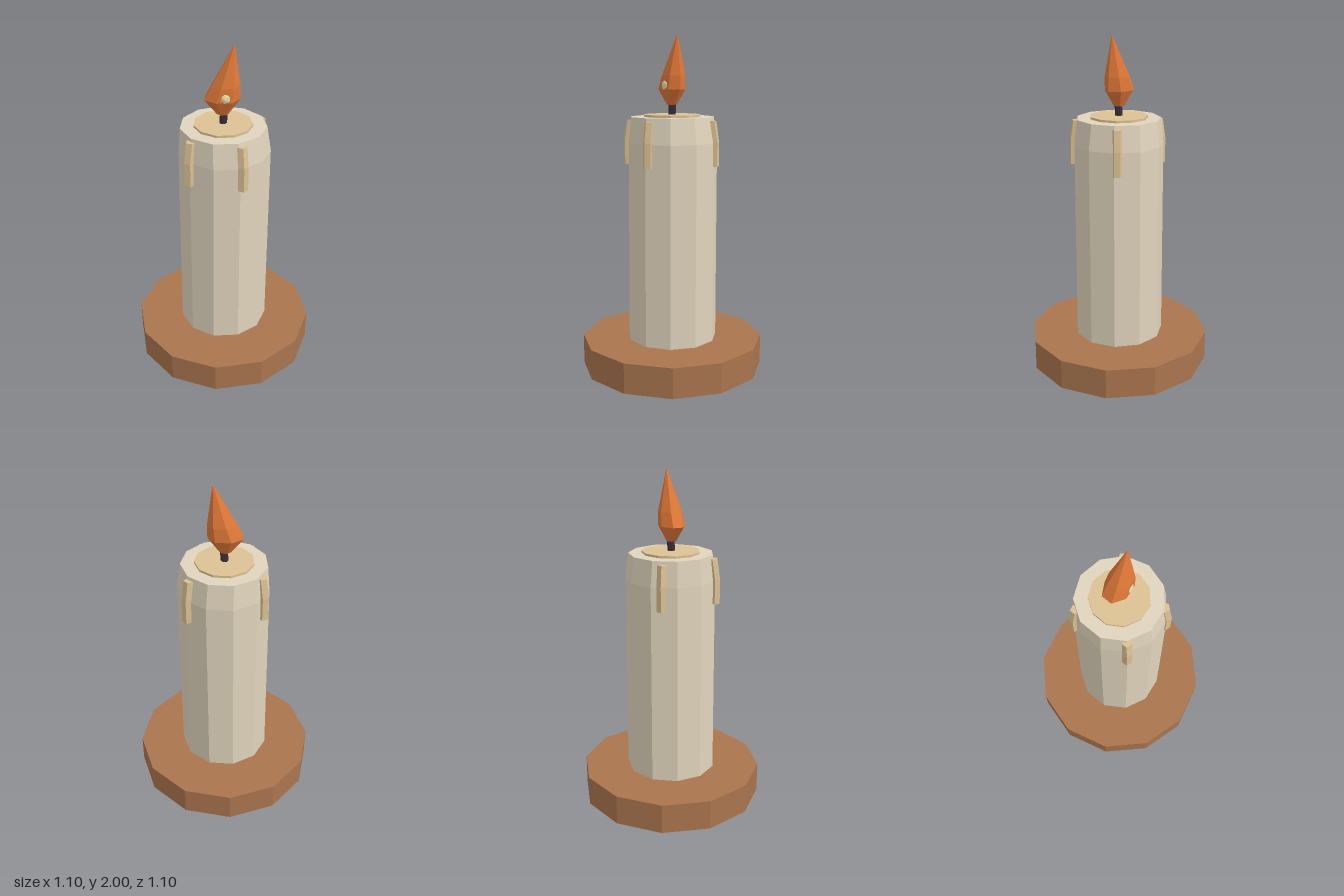
import * as THREE from 'three';

const paint = (name, color) => {
  const m = new THREE.MeshStandardMaterial({ color, flatShading: true });
  m.name = name;
  return m;
};

// Closed faceted solid through rings of [y, radiusX, radiusZ, centreX, centreZ]
function loft(rings, sides) {
  const pos = [], index = [];
  for (const [y, rx, rz, cx = 0, cz = 0] of rings) {
    for (let i = 0; i < sides; i++) {
      const a = (i / sides) * Math.PI * 2;
      pos.push(cx + rx * Math.cos(a), y, cz + rz * Math.sin(a));
    }
  }
  const last = (rings.length - 1) * sides;
  for (let r = 0; r < last; r += sides) {
    for (let i = 0; i < sides; i++) {
      const j = (i + 1) % sides;
      index.push(r + i, r + sides + i, r + j, r + sides + i, r + sides + j, r + j);
    }
  }
  // Fan caps
  for (let i = 1; i < sides - 1; i++) {
    index.push(0, i, i + 1, last, last + i + 1, last + i);
  }
  const g = new THREE.BufferGeometry();
  g.setAttribute('position', new THREE.Float32BufferAttribute(pos, 3));
  g.setIndex(index);
  const flat = g.toNonIndexed();
  flat.computeVertexNormals();
  return flat;
}

export function createModel() {
  const model = new THREE.Group();
  model.name = 'candle';
  const wood = paint('wood', 0xa9754e);
  const wax = paint('wax', 0xe0d4bc);
  const meltedWax = paint('meltedWax', 0xdcc193);
  const char = paint('char', 0x3a2d38);
  const fire = paint('fire', 0xe07838);
  const glow = paint('glow', 0xe6dcae);

  const add = (name, geometry, material) => {
    const mesh = new THREE.Mesh(geometry, material);
    mesh.name = name;
    model.add(mesh);
    return mesh;
  };

  // Twelve-sided wooden base
  add('base', loft([[0, 0.55, 0.55], [0.18, 0.55, 0.55]], 12), wood);

  // Eleven-sided candle with a sloped shoulder
  add('candleBody', loft([
    [0.17, 0.272, 0.272],
    [1.38, 0.268, 0.268, 0.006],
    [1.53, 0.25, 0.25],
  ], 11), wax);
  add('waxPool', loft([[1.52, 0.171, 0.171], [1.543, 0.171, 0.171]], 11), meltedWax);

  // Drips that follow the shoulder and then hang straight: [angle, distance]
  const drips = [[61.5, 0.268], [130.5, 0.268], [216, 0.262], [324, 0.268]];
  drips.forEach(([degrees, d], i) => {
    const a = THREE.MathUtils.degToRad(degrees);
    const ring = (y, out) => [y, 0.031, 0.028, Math.cos(a) * out, Math.sin(a) * out];
    add('waxDrip' + (i + 1), loft([ring(1.245, d), ring(1.39, d), ring(1.51, d - 0.018)], 5), meltedWax);
  });

  // Slightly leaning wick
  add('wick', loft([[1.53, 0.022, 0.022, -0.002], [1.64, 0.022, 0.022, 0.006]], 6), char);

  // Leaning teardrop flame
  add('flame', loft([
    [1.6, 0.034, 0.03, -0.004],
    [1.69, 0.104, 0.075, -0.01],
    [1.77, 0.083, 0.067, 0.012],
    [2.0, 0.003, 0.003, 0.06],
  ], 7), fire);

  // Bright core just breaking through the front of the flame
  const core = add('flameCore', new THREE.IcosahedronGeometry(1, 1), glow);
  core.scale.set(0.045, 0.045, 0.043);
  core.position.set(0.012, 1.712, 0.03);

  return model;
}
